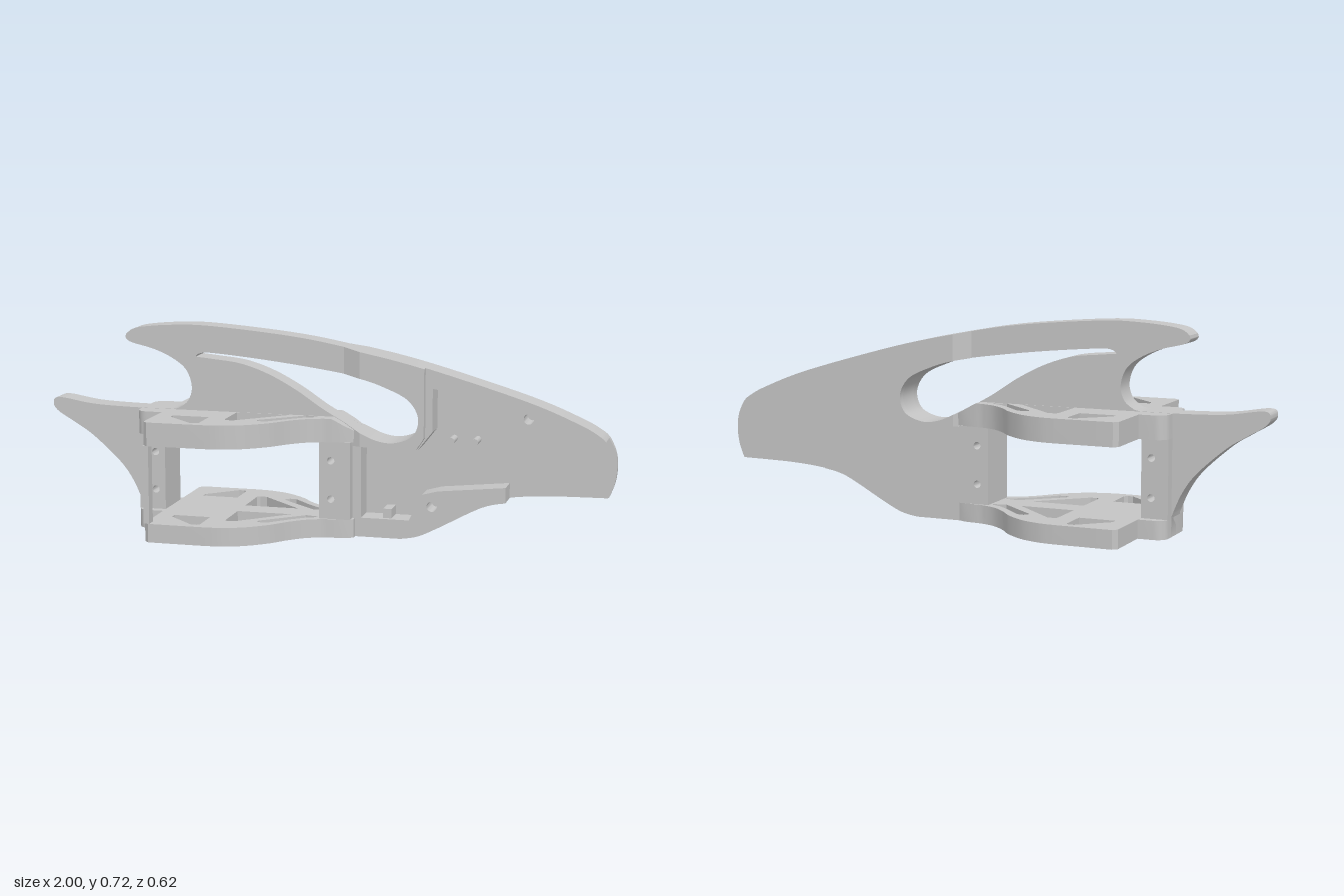
import * as THREE from 'three';
import { toCreasedNormals } from 'three/addons/utils/BufferGeometryUtils.js';

const V = (p) => new THREE.Vector2(p[0], p[1]);
// smooth curve through control points, hitting each of them
const curve = (pts) => new THREE.SplineCurve(pts.map(V)).getPoints(6 * (pts.length - 1)).map((p) => [p.x, p.y]);
const circle = (x, y, r) => Array.from({ length: 20 }, (_, i) => {
  const a = (i / 20) * Math.PI * 2;
  return [x + r * Math.cos(a), y + r * Math.sin(a)];
});
const mirror = (pts) => pts.map(([x, z]) => [x, -z]);

// flat part with holes; the outline always runs counter-clockwise so hole walls face inwards
function slab(outline, holes, z0, z1) {
  const pts = outline.map(V);
  if (THREE.ShapeUtils.isClockWise(pts)) pts.reverse();
  const s = new THREE.Shape(pts);
  for (const h of holes) s.holes.push(new THREE.Path(h.map(V)));
  return new THREE.ExtrudeGeometry(s, { depth: z1 - z0, bevelEnabled: false }).translate(0, 0, z0);
}

function bend(g, rule) {
  const p = g.attributes.position;
  for (let i = 0; i < p.count; i++) {
    const v = rule(p.getX(i), p.getY(i), p.getZ(i));
    p.setXYZ(i, v[0], v[1], v[2]);
  }
  g.computeVertexNormals();
  return g;
}

export function createModel() {
  const model = new THREE.Group();
  model.name = 'handleFrame';
  const grey = new THREE.MeshStandardMaterial({ color: 0xc4c4c4 });
  grey.name = 'grey';
  const add = (name, geo) => {
    const m = new THREE.Mesh(toCreasedNormals(geo, 0.5), grey);
    m.name = name;
    model.add(m);
  };

  const T = 0.043; // half thickness of the core
  const W = 0.068; // half thickness of the widened front
  const X = 0.13; // where the widened front starts
  const LOW = 0.065; // top of the lower wing
  const MID = 0.336; // underside of the upper wing
  const HIGH = 0.418; // top of the upper wing

  // shared edge curves
  const top = curve([[-0.72, 0.68], [-0.68, 0.703], [-0.55, 0.717], [-0.4, 0.717], [-0.1, 0.69], [X, 0.65],
    [0.355, 0.6], [0.7, 0.5], [0.88, 0.43], [0.95, 0.392], [0.97, 0.374]]);
  const belly = curve([[0.635, 0.147], [0.55, 0.125], [0.4, 0.045], [0.33, 0.012], [0.27, 0]]);
  const spur = curve([[-0.665, 0.07], [-0.7, 0.15], [-0.75, 0.22], [-0.85, 0.31], [-0.92, 0.355], [-0.985, 0.395],
    [-1, 0.425], [-0.975, 0.443], [-0.85, 0.425], [-0.7, 0.419], [-0.55, 0.419]]);
  const neck = curve([[-0.53, 0.423], [-0.495, 0.45], [-0.48, 0.5], [-0.5, 0.56], [-0.55, 0.6], [-0.62, 0.63],
    [-0.7, 0.65], [-0.722, 0.665], [-0.72, 0.68]]).slice(0, -1);
  const grip = curve([[-0.465, 0.608], [-0.45, 0.62], [-0.4, 0.623], [-0.2, 0.605], [0, 0.58], [X, 0.558],
    [0.22, 0.53], [0.3, 0.49], [0.335, 0.43], [0.318, 0.37], [0.26, 0.342], [0.2, 0.343], [X, 0.37], [0, 0.44],
    [-0.1, 0.505], [-0.2, 0.557], [-0.3, 0.59], [-0.4, 0.602], [-0.465, 0.608]]).slice(0, -1);
  const topFront = top.filter((p) => p[0] >= X - 1e-6);
  const gripFront = grip.filter((p) => p[0] >= X - 1e-6).reverse();

  // core: grip, rear spur and the rim around the open front pocket
  const core = [...top,
    ...curve([[0.965, 0.37], [0.86, 0.364], [0.76, 0.347], [0.69, 0.32], [0.625, 0.309]]),
    [0.565, 0.32], [0.565, 0.5], [0.38, 0.53], [0.38, 0.38], [0.33, 0.316], [X, 0.316], [X, 0.067], [0.3, 0.067],
    [0.345, 0.16], [0.4, 0.175], [0.635, 0.2], ...belly, [-0.665, 0], ...spur, ...neck];
  const opening = [[-0.57, LOW], [-0.01, LOW], [-0.01, MID], [-0.57, MID]];
  const boltHoles = (x) => [0.135, 0.27].map((y) => circle(x, y, 0.013));
  add('coreBody', slab(core, [grip, opening, ...boltHoles(-0.605), ...boltHoles(0.032),
    circle(0.71, 0.44, 0.018), circle(0.38, 0.12, 0.018)], -T, T));

  // back plate closing the pocket
  add('backPlate', slab([...topFront,
    ...curve([[0.972, 0.372], [0.992, 0.33], [1, 0.28], [0.994, 0.22], [0.975, 0.167]]),
    ...curve([[0.97, 0.165], [0.8, 0.162], [0.7, 0.156], [0.64, 0.149]]),
    ...belly, [X, 0], ...gripFront], [], -W, -T + 0.001));

  // raised front lip around the end of the grip opening
  add('frontLip', slab([...topFront.filter((p) => p[0] <= 0.3551),
    [0.355, 0.36], [0.33, 0.322], [X, 0.322], ...gripFront], [], T - 0.002, W));

  // tapered shoulders leading from the core to the widened front
  const shoulders = [
    [[0.07, 0.662], [X, 0.65], [X, 0.558], [0.07, 0.569]],
    [[0.07, 0.322], [X, 0.322], [X, 0.37], [0.07, 0.401]],
  ];
  for (const side of [-1, 1]) {
    for (const s of shoulders) {
      const g = slab(s, [], side > 0 ? T - 0.002 : -W, side > 0 ? W : -T + 0.002);
      add('shoulder', bend(g, (x, y, z) => [x, y, x < 0.1 && Math.abs(z) > T ? side * T : z]));
    }
  }
  add('lowerShoulder', slab([[0.1, 0], [X, 0], [X, 0.33], [0.1, 0.33]], [], -W, -T));

  // upper and lower wings: rounded rear tab, truss cutouts and a tapered front end
  const tab = Array.from({ length: 7 }, (_, i) => {
    const a = (i / 6) * Math.PI / 2;
    return [-0.625 - 0.04 * Math.cos(a), 0.07 + 0.04 * Math.sin(a)];
  });
  const edge = [...tab, [-0.57, 0.11], [-0.57, 0.295], [-0.555, 0.31], ...curve([[-0.35, 0.31], [-0.29, 0.302],
    [-0.22, 0.275], [-0.15, 0.22], [-0.1, 0.16], [-0.05, 0.115], [0, 0.092], [0.035, 0.086]])];
  const end = [[0.035, 0.086], [0.08, 0.08], [0.11, 0.066]];
  const cuts = [
    [[-0.51, 0.16], [-0.38, 0.16], [-0.38, 0.27], [-0.39, 0.28], [-0.41, 0.28], [-0.51, 0.185]],
    [[-0.315, 0.046], [-0.315, 0.19], [-0.305, 0.2], [-0.28, 0.197], [-0.12, 0.046]],
    [[-0.2, 0.165], [-0.205, 0.18], [-0.19, 0.19], [-0.165, 0.187], [-0.1, 0.12], [-0.06, 0.085], [-0.02, 0.065],
      [-0.02, 0.055], [-0.065, 0.046]],
  ];
  const both = (pts) => [...pts, ...mirror(pts).reverse()];
  for (const [name, y0, y1] of [['lowerWing', 0, LOW], ['upperWing', MID, HIGH]]) {
    add(name, slab(both(edge), [...cuts, ...cuts.map(mirror)], y0, y1).rotateX(-Math.PI / 2));
    // the front end slopes down with the grip opening
    add(name + 'End', bend(slab(both(end), [], y0, y1).rotateX(-Math.PI / 2),
      (x, y, z) => [x, y > 0.4 ? y - 0.54 * (x - 0.035) : y, z]));
  }

  // mounts between the wings, with cross holes
  for (const [name, x0, x1, hole] of [['rearMount', -0.665, -0.57, -0.605], ['frontMount', -0.01, 0.1, 0.032]]) {
    add(name, slab([[x0, LOW], [x1, LOW], [x1, MID], [x0, MID]], boltHoles(hole), -0.08, 0.08));
  }

  // corner post
  add('cornerPost', new THREE.BoxGeometry(0.02, MID - LOW, 0.037).translate(-0.56, (MID + LOW) / 2, 0.2905));

  // pegs and catch in the pocket
  for (const x of [0.44, 0.522]) {
    add('peg', new THREE.CylinderGeometry(0.012, 0.012, 0.063, 20).rotateX(Math.PI / 2).translate(x, 0.347, -0.0115));
  }
  add('catch', new THREE.BoxGeometry(0.03, 0.04, 0.07).translate(0.22, 0.08, -0.008));
  return model;
}
